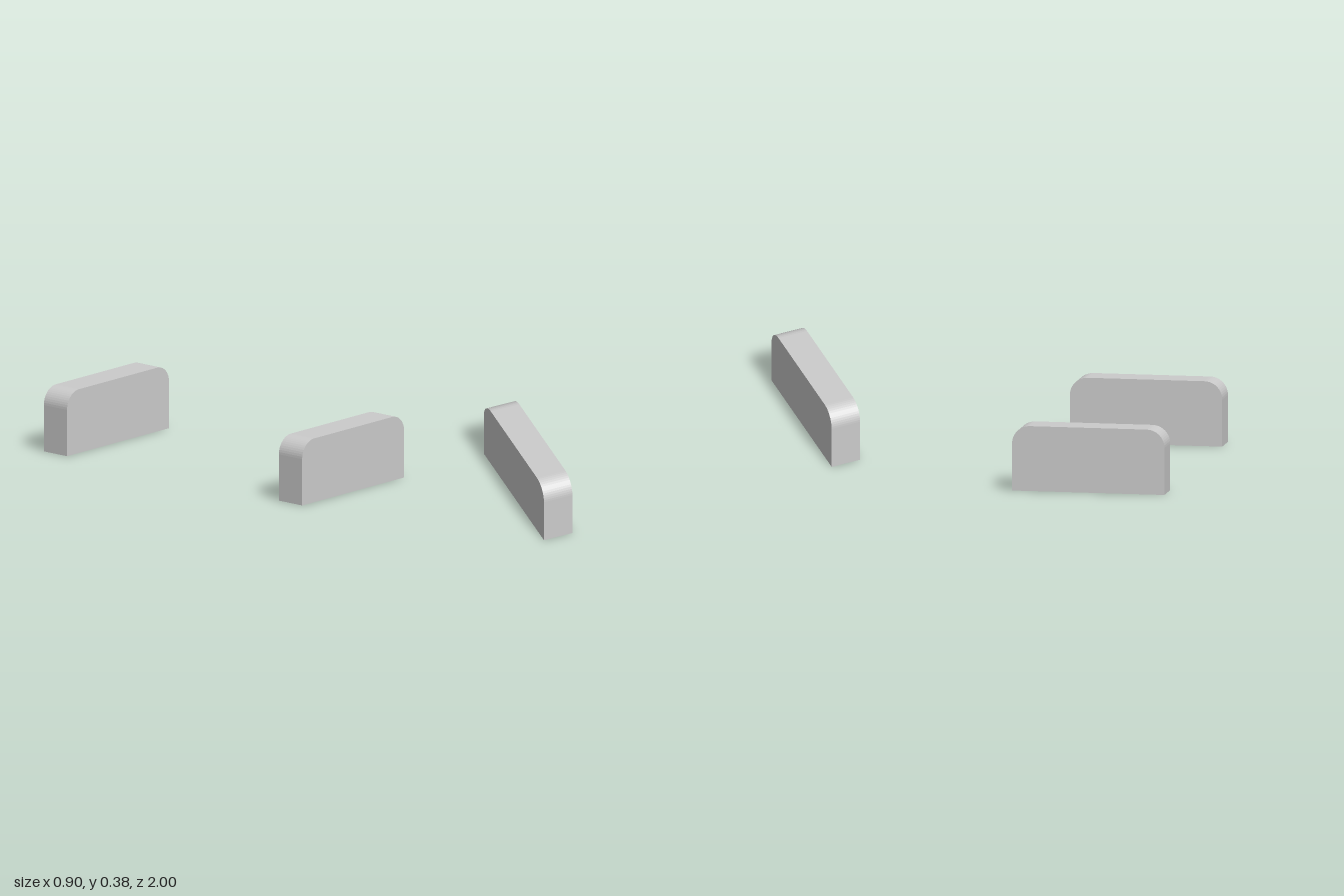
import * as THREE from 'three';

const HALF_WIDTH = 0.452;
const HEIGHT = 0.383;
const RADIUS = 0.105;
const DEPTH = 0.18;

// Upright slab outline: square at the base, rounded at both top corners
function slabShape() {
  const shape = new THREE.Shape();
  shape.moveTo(-HALF_WIDTH, 0);
  shape.lineTo(HALF_WIDTH, 0);
  shape.lineTo(HALF_WIDTH, HEIGHT - RADIUS);
  shape.absarc(HALF_WIDTH - RADIUS, HEIGHT - RADIUS, RADIUS, 0, Math.PI / 2, false);
  shape.lineTo(-HALF_WIDTH + RADIUS, HEIGHT);
  shape.absarc(-HALF_WIDTH + RADIUS, HEIGHT - RADIUS, RADIUS, Math.PI / 2, Math.PI, false);
  shape.closePath();
  return shape;
}

export function createModel() {
  const model = new THREE.Group();
  model.name = 'endSlabs';

  const material = new THREE.MeshStandardMaterial({ color: 0xcccccc, flatShading: true });
  const geometry = new THREE.ExtrudeGeometry(slabShape(), {
    depth: DEPTH,
    bevelEnabled: false,
    curveSegments: 6,
  });
  geometry.translate(0, 0, -DEPTH / 2);

  // Matching slabs at the front and back ends
  for (const [name, side] of [['frontSlab', 1], ['backSlab', -1]]) {
    const slab = new THREE.Mesh(geometry, material);
    slab.name = name;
    slab.position.z = side * (1 - DEPTH / 2);
    model.add(slab);
  }
  return model;
}
